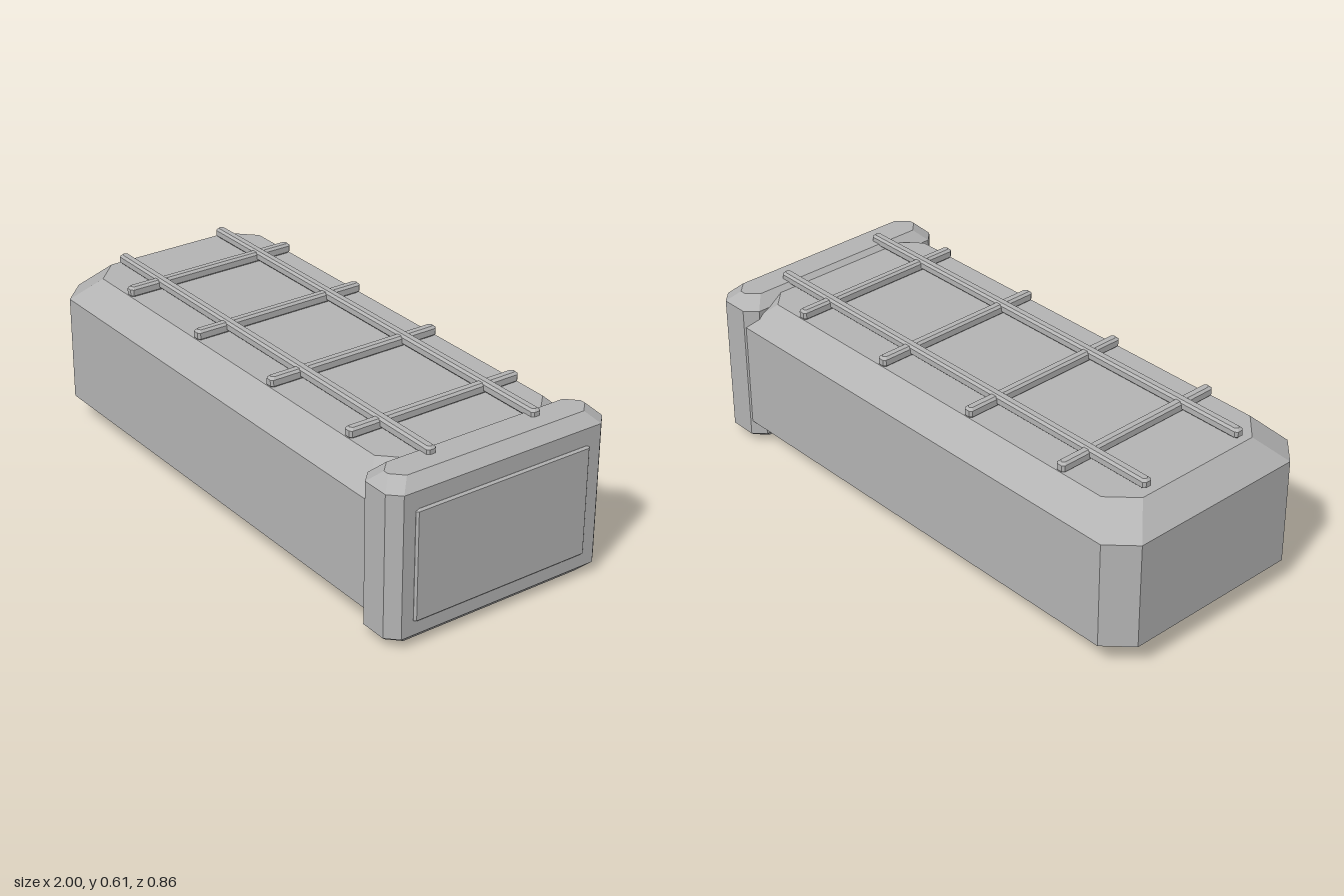
import * as THREE from 'three';
import { ConvexGeometry } from 'three/addons/geometries/ConvexGeometry.js';

// Box with every edge chamfered by c and every corner cut, given by its limits
function chamferBox([x0, x1], [y0, y1], [z0, z1], c) {
  const cx = (x0 + x1) / 2, cz = (z0 + z1) / 2;
  const hx = (x1 - x0) / 2, hz = (z1 - z0) / 2;
  const points = [];
  for (const [y, inset] of [[y0, c], [y0 + c, 0], [y1 - c, 0], [y1, c]]) {
    const a = hx - inset, b = hz - inset;
    for (const sx of [-1, 1]) for (const sz of [-1, 1]) {
      points.push(new THREE.Vector3(cx + sx * a, y, cz + sz * (b - c)));
      points.push(new THREE.Vector3(cx + sx * (a - c), y, cz + sz * b));
    }
  }
  return new ConvexGeometry(points);
}

export function createModel() {
  const model = new THREE.Group();
  model.name = 'container';
  const grey = new THREE.MeshStandardMaterial({ color: 0xb4b4b4 });
  grey.name = 'grey';

  const add = (name, x, y, z, c) => {
    const mesh = new THREE.Mesh(chamferBox(x, y, z, c), grey);
    mesh.name = name;
    model.add(mesh);
  };

  // Long hull, end collar and the raised panel on the collar
  add('body', [-1, 0.95], [0.005, 0.57], [-0.425, 0.425], 0.089);
  add('endFrame', [0.81, 0.99], [0, 0.587], [-0.43, 0.43], 0.04);
  add('endPanel', [0.97, 0.998], [0.087, 0.486], [-0.345, 0.345], 0.007);

  // Roof rack: two long rails over four cross bars
  const half = 0.018;
  for (const z of [-0.207, 0.207]) {
    add('roofRail', [-0.895, 0.892], [0.575, 0.611], [z - half, z + half], 0.008);
  }
  for (const x of [-0.64, -0.215, 0.212, 0.635]) {
    add('roofCrossBar', [x - half, x + half], [0.568, 0.606], [-0.338, 0.338], 0.008);
  }
  return model;
}
